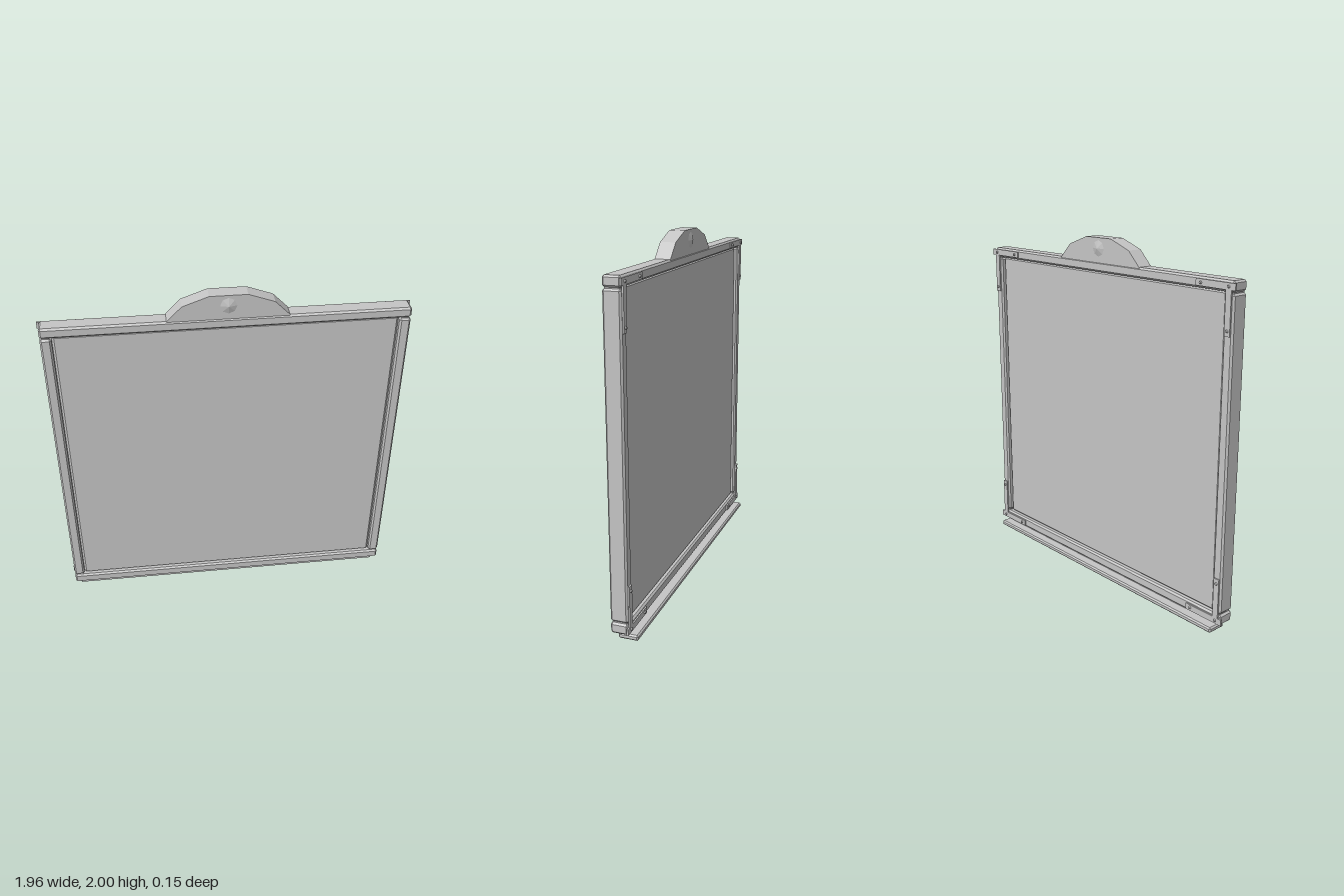
import * as THREE from 'three';
import { ConvexGeometry } from 'three/addons/geometries/ConvexGeometry.js';

// Box between two corners, with every edge chamfered by c
function chamferBox(x0, x1, y0, y1, z0, z1, c) {
  const h = [(x1 - x0) / 2, (y1 - y0) / 2, (z1 - z0) / 2];
  const points = [];
  for (const sx of [-1, 1]) for (const sy of [-1, 1]) for (const sz of [-1, 1]) {
    for (let full = 0; full < 3; full++) {
      const p = [sx, sy, sz].map((s, i) => s * (h[i] - (i === full ? 0 : c)));
      points.push(new THREE.Vector3(...p));
    }
  }
  return new ConvexGeometry(points).translate((x0 + x1) / 2, (y0 + y1) / 2, (z0 + z1) / 2);
}

function plainBox(x0, x1, y0, y1, z0, z1) {
  return new THREE.BoxGeometry(x1 - x0, y1 - y0, z1 - z0)
    .translate((x0 + x1) / 2, (y0 + y1) / 2, (z0 + z1) / 2);
}

// Flat outline given depth along z
function slab(outline, z, depth) {
  const shape = new THREE.Shape(outline.map(p => new THREE.Vector2(...p)));
  return new THREE.ExtrudeGeometry(shape, { depth, bevelEnabled: false }).translate(0, 0, z);
}

export function createModel() {
  const model = new THREE.Group();
  model.name = 'framedPanel';
  const grey = new THREE.MeshStandardMaterial({ color: 0xc5c5c5 });
  grey.name = 'lightGrey';

  function add(name, geometry, parent = model) {
    const mesh = new THREE.Mesh(geometry, grey);
    mesh.name = name;
    parent.add(mesh);
  }

  const back = -0.032, front = 0.065;

  // Frame rails, ledge and panel
  add('topRail', chamferBox(-0.968, 0.968, 1.813, 1.87, back, front, 0.01));
  add('bottomRail', chamferBox(-0.968, 0.968, 0.04, 0.1, back, front, 0.01));
  add('bottomLedge', chamferBox(-0.94, 0.94, 0, 0.031, -0.075, 0.035, 0.008));
  add('ledgeSeam', plainBox(-0.92, 0.92, 0.025, 0.045, -0.015, 0.025));
  add('panel', chamferBox(-0.908, 0.908, 0.098, 1.815, -0.012, 0.045, 0.012));

  // Side stiles with narrower tenons into the rails
  for (const s of [-1, 1]) {
    const x0 = s < 0 ? -0.968 : 0.908;
    const side = s < 0 ? 'right' : 'left';
    add(side + 'Stile', chamferBox(x0, x0 + 0.06, 0.107, 1.807, back, front, 0.01));
    add(side + 'Tenon', plainBox(x0 + 0.01, x0 + 0.05, 0.09, 1.82, back + 0.01, front - 0.01));
  }

  // Faceted crest on the top rail
  add('crest', slab([[-0.32, 1.86], [0.32, 1.86], [0.32, 1.87], [0.24, 1.95], [0.1, 2],
    [-0.1, 2], [-0.24, 1.95], [-0.32, 1.87]], -0.029, 0.088));

  // Shallow faceted stud on each face of the crest
  for (const s of [-1, 1]) {
    const stud = new THREE.ConeGeometry(0.048, 0.014, 8).toNonIndexed();
    stud.computeVertexNormals();
    stud.rotateX(s * Math.PI / 2).translate(0, 1.942, s > 0 ? 0.065 : -0.035);
    add(s > 0 ? 'frontStud' : 'backStud', stud);
  }

  // L-shaped corner brackets with screws on the back
  for (const sx of [-1, 1]) for (const top of [false, true]) {
    const bracket = new THREE.Group();
    bracket.name = (top ? 'upper' : 'lower') + (sx < 0 ? 'Right' : 'Left') + 'Bracket';
    const place = ([x, y]) => [sx * x, top ? y : 1.91 - y];
    add('bracketPlate', slab([[0.73, 1.825], [0.922, 1.825], [0.922, 1.6], [0.957, 1.6],
      [0.957, 1.825], [0.982, 1.825], [0.982, 1.86], [0.73, 1.86]].map(place), -0.04, 0.009), bracket);
    for (const spot of [[0.762, 1.842], [0.94, 1.842], [0.94, 1.627]]) {
      add('screw', new THREE.CylinderGeometry(0.006, 0.009, 0.008, 8).rotateX(-Math.PI / 2)
        .translate(...place(spot), -0.043), bracket);
    }
    model.add(bracket);
  }

  return model;
}
